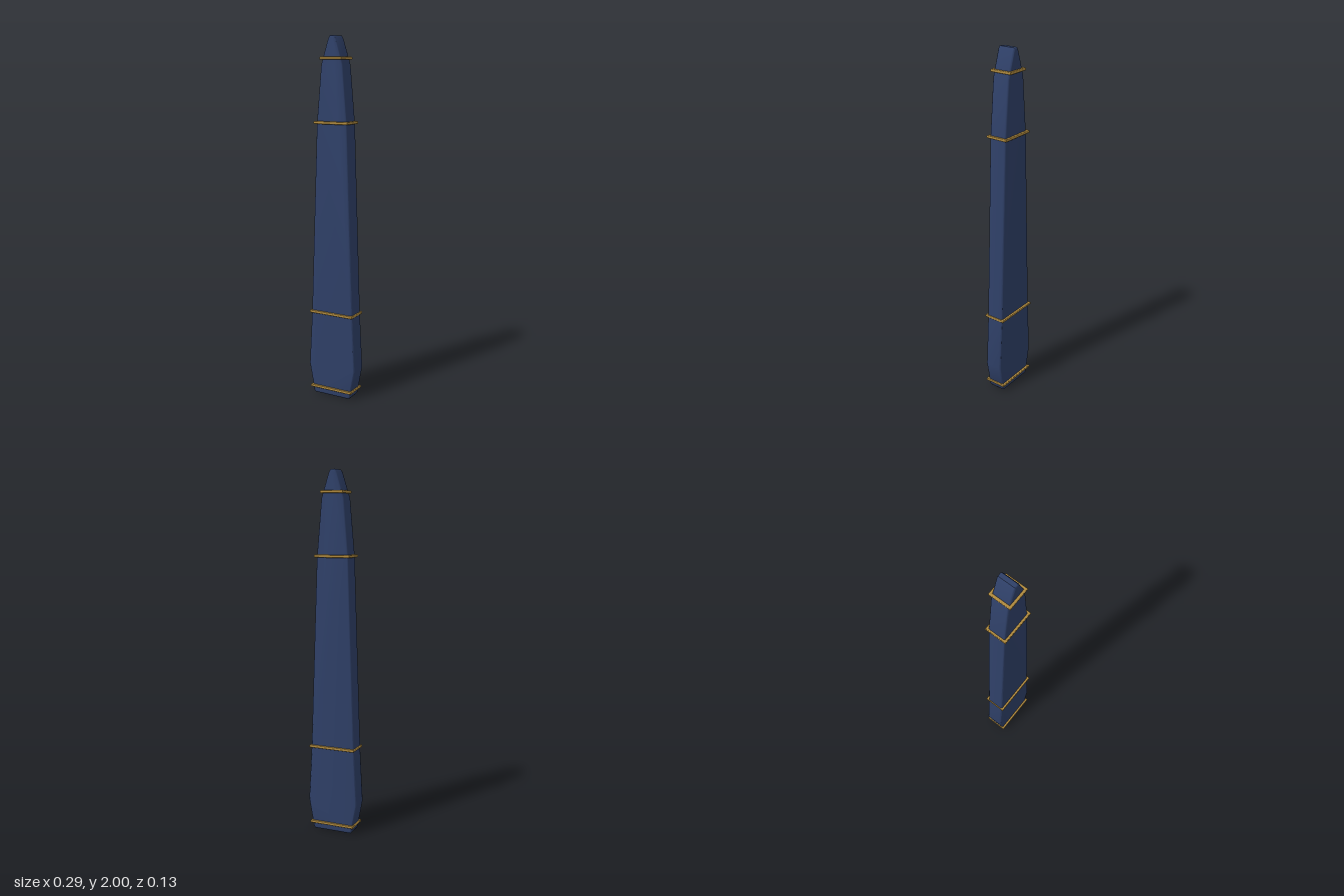
import * as THREE from 'three';
import { toCreasedNormals } from 'three/addons/utils/BufferGeometryUtils.js';

const blue = new THREE.MeshStandardMaterial({ color: 0x2f4068 });
const gold = new THREE.MeshStandardMaterial({ color: 0xb08a3e });

// Extrude a shape with rounded edges, centred on its depth; bevel stays inside the outline.
function roundedExtrude(shape, depth, bevel, segments) {
  const geo = new THREE.ExtrudeGeometry(shape, {
    depth: depth - 2 * bevel, bevelEnabled: true, bevelThickness: bevel,
    bevelSize: bevel, bevelOffset: -bevel, bevelSegments: segments,
  });
  geo.translate(0, 0, bevel - depth / 2);
  return toCreasedNormals(geo, 0.7);
}

function rect(path, w, d) {
  path.moveTo(-w, -d);
  path.lineTo(w, -d);
  path.lineTo(w, d);
  path.lineTo(-w, d);
  path.closePath();
  return path;
}

export function createModel() {
  const model = new THREE.Group();
  model.name = 'taperedCase';

  // Tapering body: half-width and height, mirrored about x = 0
  const half = [
    [0.108, 0], [0.116, 0.01], [0.146, 0.17], [0.129, 0.48], [0.092, 1.54],
    [0.064, 1.85], [0.021, 1.985], [0.012, 2],
  ];
  const outline = [
    ...half.map(([x, y]) => new THREE.Vector2(x, y)),
    ...half.slice().reverse().map(([x, y]) => new THREE.Vector2(-x, y)),
  ];
  const body = new THREE.Mesh(roundedExtrude(new THREE.Shape(outline), 0.1, 0.009, 3), blue);
  body.name = 'body';
  model.add(body);

  // Rounded rectangular bands: height and outer half-width
  const bands = [[0.042, 0.13], [0.485, 0.134], [1.545, 0.102], [1.883, 0.065]];
  bands.forEach(([y, w], i) => {
    const frame = rect(new THREE.Shape(), w, 0.063);
    frame.holes.push(rect(new THREE.Path(), w - 0.015, 0.048));
    const band = new THREE.Mesh(roundedExtrude(frame, 0.016, 0.006, 3), gold);
    band.name = `band${i + 1}`;
    band.rotation.x = -Math.PI / 2;
    band.position.y = y;
    model.add(band);
  });

  return model;
}
